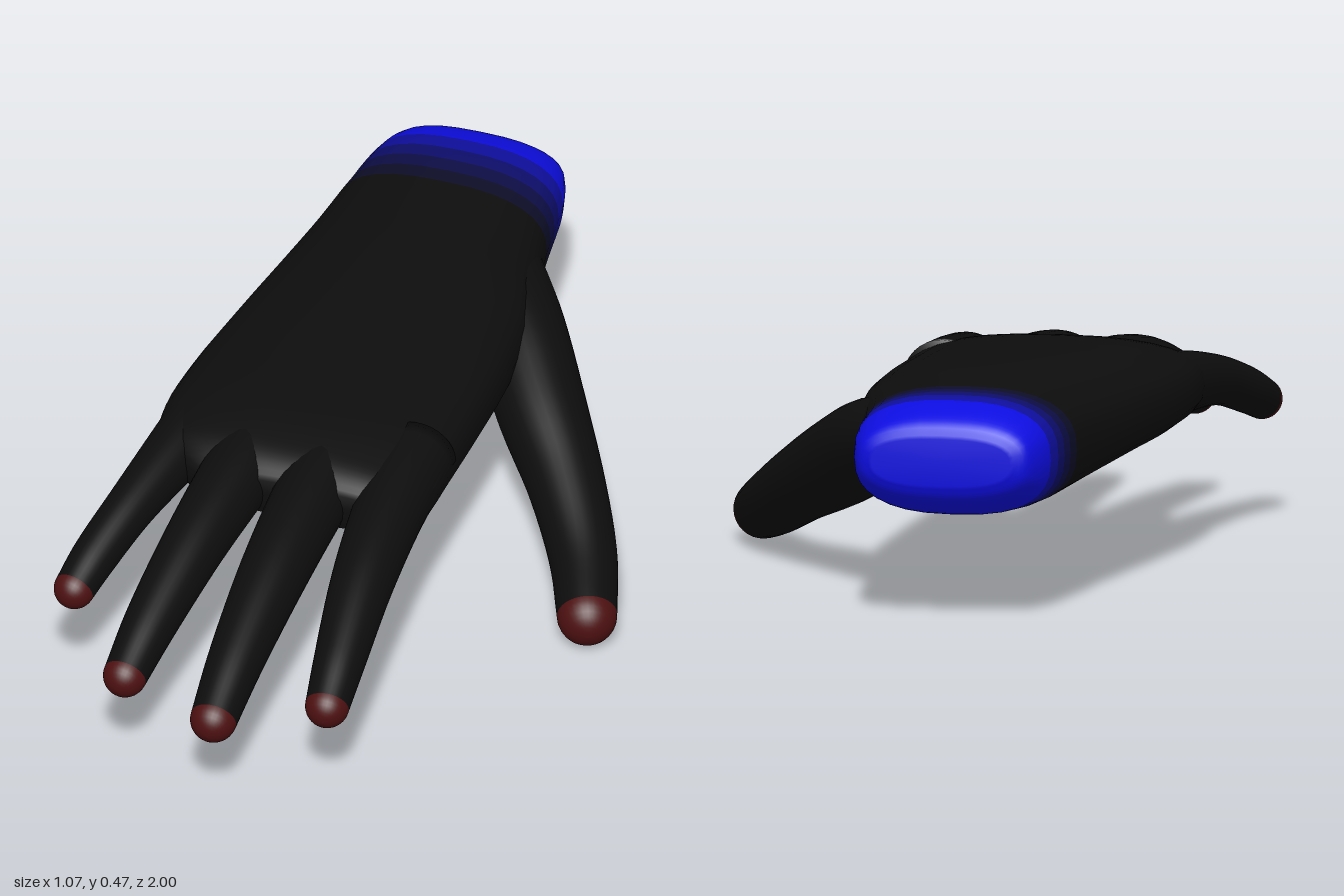
import * as THREE from 'three';

const mat = (name, color) => Object.assign(new THREE.MeshStandardMaterial({ color }), { name });
const N = 32; // points around every cross-section

// Smooth closed skin over a list of rings; spanMats[i] is the material index between ring i and i + 1
function skin(rings, spanMats) {
  const pos = [], idx = [], geo = new THREE.BufferGeometry();
  rings.forEach(r => r.forEach(p => pos.push(p.x, p.y, p.z)));
  const centre = r => r.reduce((s, p) => s.add(p), new THREE.Vector3()).divideScalar(N);
  const last = rings.length - 1, c0 = rings.length * N;
  for (const c of [centre(rings[0]), centre(rings[last])]) pos.push(c.x, c.y, c.z);
  for (let i = 0; i < last; i++) {
    const start = idx.length;
    for (let j = 0; j < N; j++) {
      const k = (j + 1) % N, a = i * N + j, b = i * N + k;
      if (i === 0) idx.push(c0, b, a);
      idx.push(a, b, a + N, b, b + N, a + N);
      if (i === last - 1) idx.push(c0 + 1, a + N, b + N);
    }
    geo.addGroup(start, idx.length - start, spanMats[i]);
  }
  geo.setAttribute('position', new THREE.Float32BufferAttribute(pos, 3));
  geo.setIndex(idx);
  geo.computeVertexNormals();
  return geo;
}

// Round tapering digit; each point is [x, y, z, radius], ending in a coloured dome
function digit(points) {
  const path = new THREE.CatmullRomCurve3(points.map(p => new THREE.Vector3(p[0], p[1], p[2])));
  const radii = new THREE.CatmullRomCurve3(points.map(p => new THREE.Vector3(p[3], 0, p[2])));
  const rings = [], spans = [], steps = 24, domeSteps = 8;
  const ring = (c, t, r) => {
    const side = new THREE.Vector3(0, 1, 0).cross(t).normalize();
    const up = t.clone().cross(side);
    rings.push(Array.from({ length: N }, (_, j) => {
      const a = j / N * Math.PI * 2;
      return c.clone().addScaledVector(side, r * Math.cos(a)).addScaledVector(up, r * Math.sin(a));
    }));
  };
  for (let i = 0; i <= steps; i++) {
    ring(path.getPoint(i / steps), path.getTangent(i / steps), radii.getPoint(i / steps).x);
    spans.push(i < steps ? 0 : 1);
  }
  const end = path.getPoint(1), dir = path.getTangent(1), r = points[points.length - 1][3];
  for (let i = 1; i <= domeSteps; i++) {
    const a = i / domeSteps * Math.PI * 0.48;
    ring(end.clone().addScaledVector(dir, r * Math.sin(a)), dir, r * Math.cos(a));
    spans.push(1);
  }
  return skin(rings, spans);
}

// Palm and wrist stations: [z, xMin, xMax, yMin, yMax, material of the span that follows]
const PALM = [
  [-1.00, -0.31, -0.01, 0.305, 0.405, 1],
  [-0.985, -0.345, 0.02, 0.275, 0.435, 1],
  [-0.95, -0.363, 0.036, 0.247, 0.456, 1],
  [-0.895, -0.376, 0.05, 0.23, 0.474, 2],
  [-0.85, -0.383, 0.057, 0.225, 0.479, 3],
  [-0.81, -0.388, 0.062, 0.222, 0.48, 4],
  [-0.77, -0.392, 0.067, 0.22, 0.48, 5],
  [-0.73, -0.397, 0.073, 0.22, 0.48, 0],
  [-0.60, -0.41, 0.10, 0.222, 0.48, 0],
  [-0.45, -0.43, 0.135, 0.228, 0.48, 0],
  [-0.25, -0.458, 0.152, 0.24, 0.477, 0],
  [-0.05, -0.482, 0.155, 0.25, 0.472, 0],
  [0.12, -0.486, 0.155, 0.262, 0.466, 0],
  [0.22, -0.465, 0.155, 0.275, 0.452, 0],
  [0.28, -0.40, 0.15, 0.29, 0.435, 0],
  [0.325, -0.32, 0.12, 0.32, 0.405, 0],
];

function palm() {
  const xs = new THREE.CatmullRomCurve3(PALM.map(s => new THREE.Vector3(s[1], s[2], s[0])));
  const ys = new THREE.CatmullRomCurve3(PALM.map(s => new THREE.Vector3(s[3], s[4], s[0])));
  const sub = 4, total = (PALM.length - 1) * sub, rings = [], spans = [];
  const round = v => Math.sign(v) * Math.abs(v) ** 0.78;
  for (let i = 0; i <= total; i++) {
    const x = xs.getPoint(i / total), y = ys.getPoint(i / total);
    rings.push(Array.from({ length: N }, (_, j) => {
      const a = j / N * Math.PI * 2;
      return new THREE.Vector3(
        (x.x + x.y) / 2 + (x.y - x.x) / 2 * round(Math.cos(a)),
        (y.x + y.y) / 2 + (y.y - y.x) / 2 * round(Math.sin(a)), x.z);
    }));
    spans.push(PALM[Math.floor(i / sub)][5]);
  }
  return skin(rings, spans);
}

// Digit centre lines from root to the base of the tip
const DIGITS = {
  littleFinger: [[-0.40, 0.365, 0.05, 0.075], [-0.42, 0.36, 0.22, 0.066], [-0.455, 0.335, 0.42, 0.053],
    [-0.485, 0.295, 0.56, 0.049], [-0.50, 0.265, 0.645, 0.044]],
  ringFinger: [[-0.26, 0.37, 0.08, 0.085], [-0.267, 0.365, 0.3, 0.078], [-0.28, 0.34, 0.52, 0.068],
    [-0.297, 0.285, 0.74, 0.057], [-0.305, 0.24, 0.875, 0.047]],
  middleFinger: [[-0.095, 0.37, 0.08, 0.088], [-0.093, 0.362, 0.3, 0.082], [-0.088, 0.335, 0.56, 0.073],
    [-0.084, 0.28, 0.8, 0.06], [-0.08, 0.23, 0.95, 0.05]],
  indexFinger: [[0.07, 0.37, 0.08, 0.084], [0.078, 0.362, 0.28, 0.077], [0.1, 0.335, 0.52, 0.067],
    [0.124, 0.28, 0.73, 0.055], [0.135, 0.24, 0.838, 0.047]],
  thumb: [[0.0, 0.35, -0.66, 0.08], [0.09, 0.318, -0.5, 0.098], [0.2, 0.25, -0.33, 0.097],
    [0.315, 0.178, -0.17, 0.083], [0.405, 0.115, -0.02, 0.073], [0.465, 0.075, 0.125, 0.064]],
};

export function createModel() {
  const black = mat('gloveBlack', 0x0d0d0d);
  const red = mat('tipRed', 0x4d1011);
  const cuff = [['cuffBlue', 0x0d0de0], ['cuffBlueDeep', 0x0e0e9c], ['cuffNavy', 0x0d0d6a],
    ['cuffDarkNavy', 0x0d0d45], ['cuffNearBlack', 0x0d0d28]].map(c => mat(...c));

  const group = new THREE.Group();
  group.name = 'hand';
  const add = (name, geo, materials) => {
    const mesh = new THREE.Mesh(geo, materials);
    mesh.name = name;
    group.add(mesh);
  };
  add('palmAndWrist', palm(), [black, ...cuff]);
  for (const [name, points] of Object.entries(DIGITS)) add(name, digit(points), [black, red]);
  return group;
}
